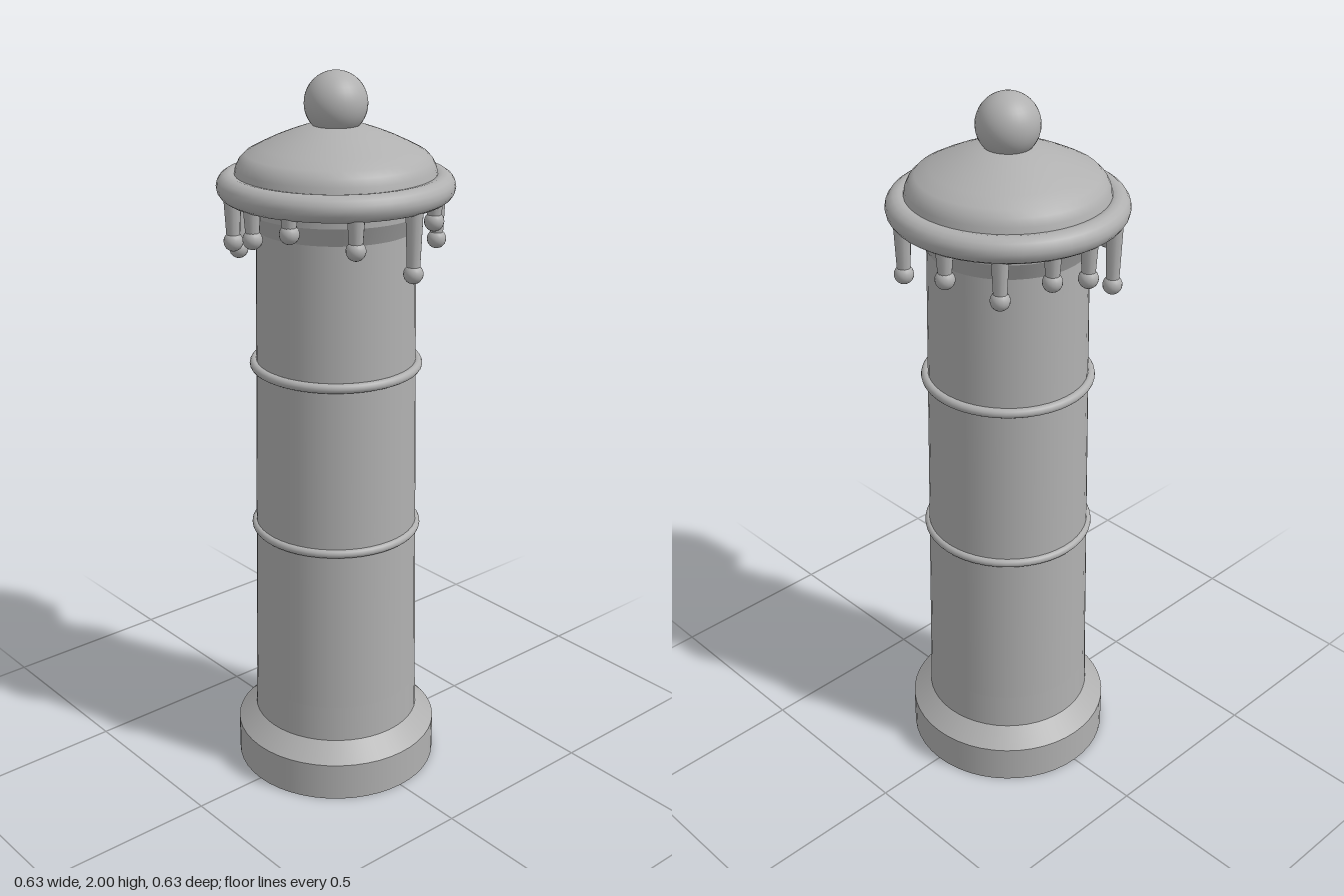
import * as THREE from 'three';

const SEG = 48;

export function createModel() {
  const model = new THREE.Group();
  model.name = 'tower';
  const stone = new THREE.MeshStandardMaterial({ color: 0xb0b0b0 });
  stone.name = 'grey stone';

  const add = (name, geometry, y = 0, parent = model) => {
    const mesh = new THREE.Mesh(geometry, stone);
    mesh.name = name;
    mesh.position.y = y;
    parent.add(mesh);
    return mesh;
  };
  // Open band between two heights; separate bands keep the edges sharp
  const band = (name, r0, y0, r1, y1) =>
    add(name, new THREE.CylinderGeometry(r1, r0, y1 - y0, SEG, 1, true), (y0 + y1) / 2);
  const disc = (name, r, y, down) => {
    add(name, new THREE.CircleGeometry(r, SEG), y).rotation.x = down ? Math.PI / 2 : -Math.PI / 2;
  };
  const ring = (name, r, tube, y) => {
    add(name, new THREE.TorusGeometry(r, tube, 16, SEG), y).rotation.x = Math.PI / 2;
  };

  // Plinth
  disc('plinthUnderside', 0.288, 0, true);
  band('plinth', 0.288, 0, 0.288, 0.11);
  band('plinthChamfer', 0.288, 0.11, 0.235, 0.16);

  // Tapered shaft and its hoops
  band('shaftFoot', 0.236, 0.16, 0.233, 0.265);
  band('shaft', 0.233, 0.265, 0.211, 1.595);
  ring('lowerHoop', 0.225, 0.012, 0.745);
  ring('upperHoop', 0.222, 0.013, 1.22);

  // Flared collar under the roof
  band('collarFlare', 0.211, 1.595, 0.235, 1.645);
  band('collarBand', 0.235, 1.645, 0.235, 1.67);
  disc('roofUnderside', 0.275, 1.67, true);

  // Roof rim, dome and finial
  ring('roofRim', 0.278, 0.035, 1.707);
  const dome = [[0.268, 1.725], [0.262, 1.755], [0.252, 1.775], [0.236, 1.791], [0.2, 1.81],
    [0.16, 1.829], [0.12, 1.845], [0.08, 1.859], [0.04, 1.867], [0, 1.87]];
  add('dome', new THREE.LatheGeometry(dome.map(([r, y]) => new THREE.Vector2(r, y)), SEG));
  add('finial', new THREE.SphereGeometry(0.083, 32, 20), 1.917);

  // Hanging drops: [angle from +x towards +z, height of the bead]
  const drops = [[-5, 1.52], [30, 1.6], [65, 1.637], [90, 1.605], [115, 1.573], [148, 1.513],
    [178, 1.59], [201, 1.61], [228, 1.57], [258, 1.605], [298, 1.547], [335, 1.637]];
  const top = 1.7;
  for (const [degrees, y] of drops) {
    const a = THREE.MathUtils.degToRad(degrees);
    const drop = new THREE.Group();
    drop.name = 'drop';
    drop.position.set(0.276 * Math.cos(a), 0, 0.276 * Math.sin(a));
    add('dropStem', new THREE.CylinderGeometry(0.024, 0.017, top - y, 12), (top + y) / 2, drop);
    add('dropBead', new THREE.SphereGeometry(0.026, 16, 12), y, drop);
    model.add(drop);
  }
  return model;
}
